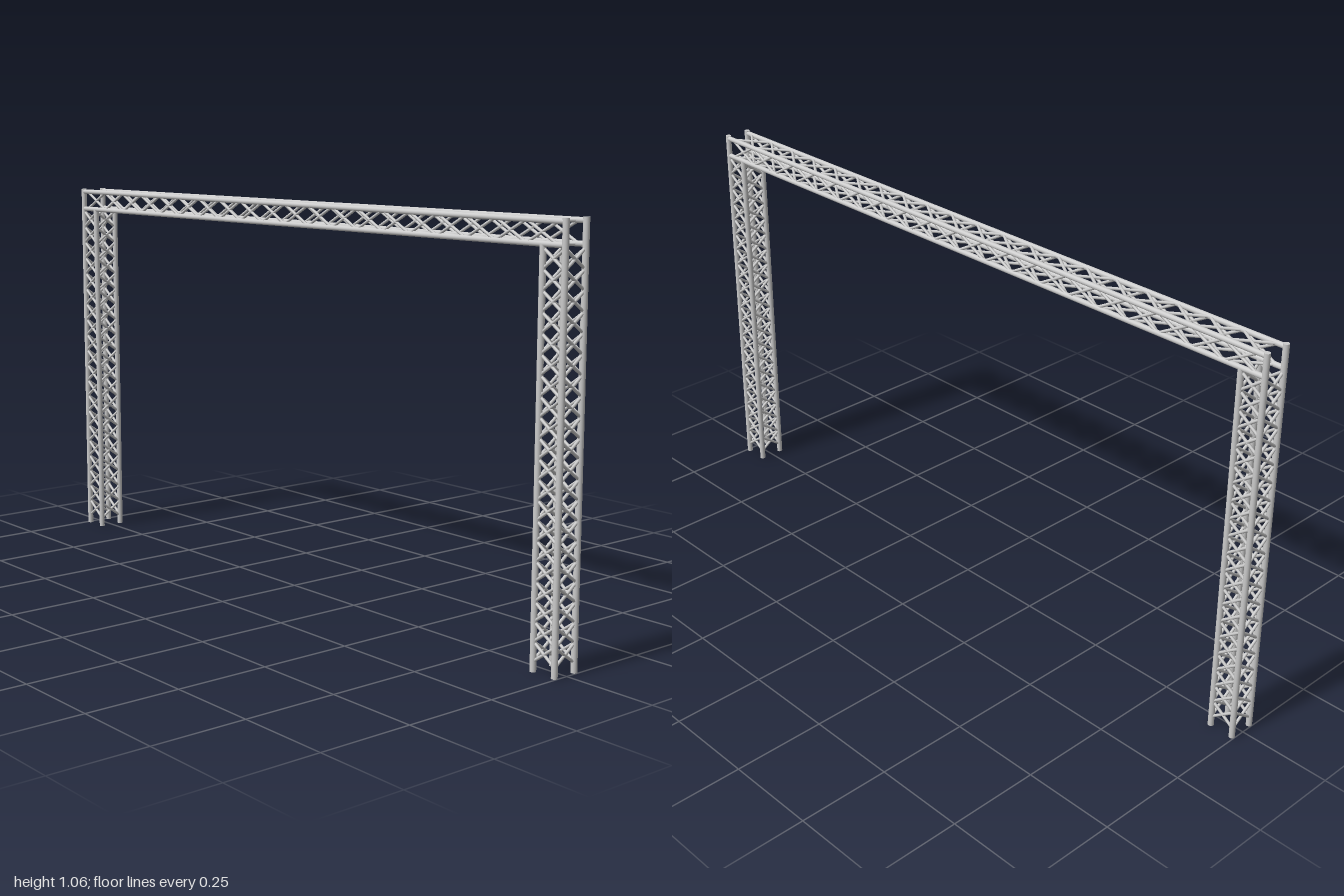
import * as THREE from 'three';
import { mergeGeometries } from 'three/addons/utils/BufferGeometryUtils.js';

const metal = new THREE.MeshStandardMaterial({ color: 0xcccccc });
const POST = 0.008, CHORD = 0.007, BRACE = 0.004, BAYS = 20;
const HALF_Z = 0.034;               // tube centre offset in depth
const OUTER_X = 0.992, INNER_X = 0.925;
const BEAM_LOW = 1.003, BEAM_HIGH = 1.056, TOP = 1.064;

// Round bar between two points
function bar(a, b, radius, sides) {
  const dir = b.clone().sub(a);
  const g = new THREE.CylinderGeometry(radius, radius, dir.length(), sides);
  g.applyQuaternion(new THREE.Quaternion().setFromUnitVectors(
    new THREE.Vector3(0, 1, 0), dir.normalize()));
  const mid = a.clone().add(b).multiplyScalar(0.5);
  return g.translate(mid.x, mid.y, mid.z);
}

function addMesh(parent, name, geometry) {
  const mesh = new THREE.Mesh(geometry, metal);
  mesh.name = name;
  parent.add(mesh);
}

// Crossed diagonals in every bay of all four sides.
// corner(i, t) gives the centre of tube i at distance t along the truss.
function lacing(corner, start, end) {
  const parts = [], step = (end - start) / BAYS;
  for (let side = 0; side < 4; side++) {
    const next = (side + 1) % 4;
    for (let k = 0; k < BAYS; k++) {
      const t0 = start + k * step, t1 = t0 + step;
      parts.push(bar(corner(side, t0), corner(next, t1), BRACE, 8));
      parts.push(bar(corner(next, t0), corner(side, t1), BRACE, 8));
    }
  }
  return mergeGeometries(parts);
}

// Upright truss; the two outer tubes carry on past the beam
function leg(name, side) {
  const group = new THREE.Group();
  group.name = name;
  const xz = [[OUTER_X, HALF_Z], [OUTER_X, -HALF_Z], [INNER_X, -HALF_Z], [INNER_X, HALF_Z]];
  const corner = (i, t) => new THREE.Vector3(side * xz[i][0], t, xz[i][1]);
  for (let i = 0; i < 4; i++) {
    addMesh(group, i < 2 ? 'outerPost' : 'innerPost',
      bar(corner(i, 0), corner(i, i < 2 ? TOP : BEAM_LOW), POST, 16));
  }
  addMesh(group, 'legLacing', lacing(corner, 0.025, 0.995));
  return group;
}

// Horizontal truss across the top
function beam() {
  const group = new THREE.Group();
  group.name = 'topBeam';
  const yz = [[BEAM_HIGH, HALF_Z], [BEAM_HIGH, -HALF_Z], [BEAM_LOW, -HALF_Z], [BEAM_LOW, HALF_Z]];
  const corner = (i, t) => new THREE.Vector3(t, yz[i][0], yz[i][1]);
  for (let i = 0; i < 4; i++) {
    addMesh(group, i < 2 ? 'upperChord' : 'lowerChord',
      bar(corner(i, -0.994), corner(i, 0.994), CHORD, 16));
  }
  addMesh(group, 'beamLacing', lacing(corner, -0.97, 0.97));
  return group;
}

export function createModel() {
  const model = new THREE.Group();
  model.name = 'trussArch';
  model.add(leg('leftLeg', 1), leg('rightLeg', -1), beam());
  return model;
}
